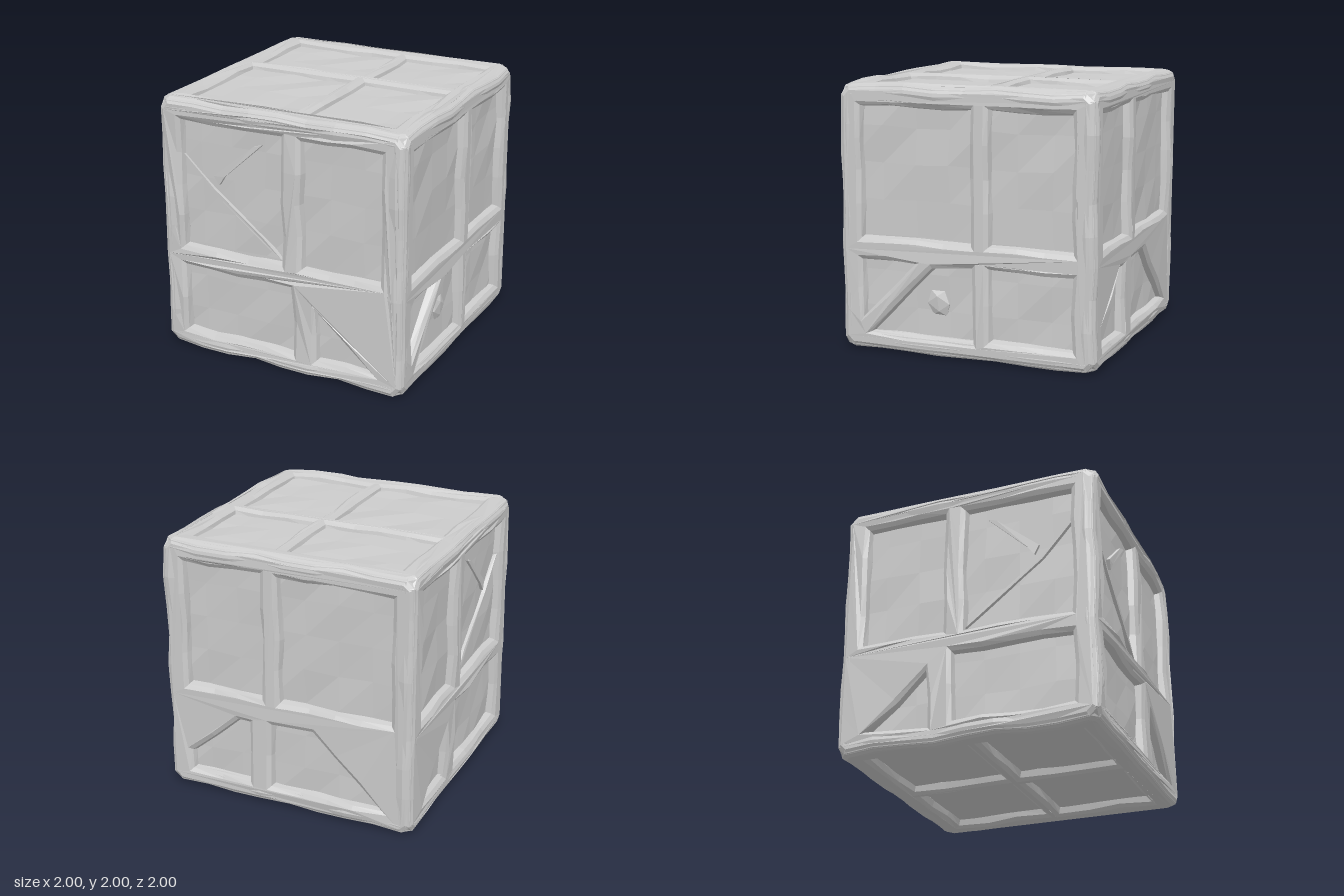
import * as THREE from 'three';

const R = 0.99;      // half size of the cube
const FLOOR = 0.925; // distance of the sunken panels from the centre
const mat = new THREE.MeshStandardMaterial({ color: 0xcccccc, flatShading: true });

// Smooth hand-hewn wobble, the same for every part so that joints stay closed
function hew(geo, amount = 0.011) {
  const p = geo.attributes.position;
  for (let i = 0; i < p.count; i++) {
    const x = p.getX(i), y = p.getY(i), z = p.getZ(i);
    p.setXYZ(i,
      x + amount * Math.sin(9 * y + 4 * x + 1) * Math.cos(7 * z - 2 * x),
      y + amount * Math.sin(8 * z + 5 * y + 2) * Math.cos(9 * x + y),
      z + amount * Math.sin(9 * x - 3 * z + 3) * Math.cos(8 * y + 2 * z));
  }
  geo.computeVertexNormals();
  return geo;
}

// Closed outline with extra points along its long sides
function outline(corners, step = 0.24) {
  const pts = [];
  corners.forEach(([x, y], i) => {
    const [x2, y2] = corners[(i + 1) % corners.length];
    const n = Math.max(1, Math.round(Math.hypot(x2 - x, y2 - y) / step));
    for (let k = 0; k < n; k++) {
      pts.push(new THREE.Vector2(x + (x2 - x) * k / n, y + (y2 - y) * k / n));
    }
  });
  return pts;
}

const rect = (x0, x1, y0, y1) => [[x0, y0], [x1, y0], [x1, y1], [x0, y1]];
const mirror = (polys) => polys.map((poly) => poly.map(([x, y]) => [-x, y]));

// Square frame with chamfered openings
function frameGeometry(openings) {
  const c = R - 0.07;
  const shape = new THREE.Shape(outline([
    [c, -R], [R, -c], [R, c], [c, R], [-c, R], [-R, c], [-R, -c], [-c, -R]]));
  for (const o of openings) shape.holes.push(new THREE.Path(outline(o)));
  const geo = new THREE.ExtrudeGeometry(shape, {
    depth: 0.001, bevelEnabled: true, bevelThickness: 0.07,
    bevelSize: 0.045, bevelOffset: -0.045, bevelSegments: 2,
  });
  return geo.translate(0, 0, R - 0.071);
}

// Openings of each side, seen from outside, heights measured from the middle
const frontOpenings = [
  rect(-0.8, 0.01, -0.14, 0.82),
  rect(0.19, 0.8, -0.13, 0.82),
  rect(-0.8, 0.09, -0.83, -0.32),
  [[0.3, -0.84], [0.74, -0.84], [0.3, -0.45]],
];
const rightOpenings = [
  rect(-0.81, 0.04, -0.13, 0.82),
  rect(0.2, 0.81, -0.13, 0.82),
  [[-0.81, -0.32], [-0.81, -0.73], [-0.4, -0.32]],
  [[-0.74, -0.85], [0.05, -0.85], [0.05, -0.32], [-0.24, -0.34]],
  rect(0.2, 0.81, -0.83, -0.32),
];
const backOpenings = [
  rect(-0.8, -0.2, -0.13, 0.82),
  rect(-0.04, 0.81, -0.13, 0.82),
  [[-0.79, -0.84], [-0.32, -0.84], [-0.32, -0.37], [-0.4, -0.37], [-0.79, -0.7]],
  [[-0.12, -0.84], [0.74, -0.84], [0.2, -0.34], [-0.12, -0.34]],
];
const topOpenings = [
  rect(-0.81, 0.04, -0.81, 0.06), rect(0.17, 0.81, -0.81, 0.06),
  rect(-0.81, 0.05, 0.19, 0.81), rect(0.17, 0.81, 0.19, 0.81),
];
const bottomOpenings = [
  rect(-0.8, -0.06, -0.8, -0.06), rect(0.07, 0.8, -0.8, -0.06),
  rect(-0.8, -0.06, 0.07, 0.8), rect(0.07, 0.8, 0.07, 0.8),
];
// Thin splinters standing off the split panel
const splinters = [
  [[-0.84, 0.6], [-0.55, 0.33], [-0.14, 0.02], [0.02, -0.13], [-0.15, -0.01], [-0.57, 0.32]],
  [[-0.15, 0.73], [-0.22, 0.71], [-0.55, 0.44], [-0.51, 0.37], [-0.46, 0.44]],
];

const q = Math.PI / 2;
const sides = [
  { name: 'front', turn: [0, 0], openings: frontOpenings, splinters },
  { name: 'right', turn: [0, q], openings: rightOpenings },
  { name: 'back', turn: [0, 2 * q], openings: backOpenings },
  { name: 'left', turn: [0, -q], openings: mirror(frontOpenings), splinters: mirror(splinters) },
  { name: 'top', turn: [-q, 0], openings: topOpenings },
  { name: 'bottom', turn: [q, 0], openings: bottomOpenings },
];

export function createModel() {
  const group = new THREE.Group();
  group.name = 'crate';
  const add = (name, geo, [rx, ry] = [0, 0]) => {
    geo.rotateX(rx).rotateY(ry);
    const mesh = new THREE.Mesh(hew(geo), mat);
    mesh.name = name;
    mesh.position.y = 1;
    group.add(mesh);
  };

  // Sunken panels: one box behind all frames, a little higher at the top
  const core = new THREE.BoxGeometry(2 * FLOOR, 2 * FLOOR + 0.02, 2 * FLOOR, 7, 7, 7);
  add('panels', core.translate(0, 0.01, 0));

  for (const s of sides) {
    add(s.name + 'Frame', frameGeometry(s.openings), s.turn);
    for (const poly of s.splinters ?? []) {
      const geo = new THREE.ExtrudeGeometry(new THREE.Shape(outline(poly, 9)), { depth: 0.035, bevelEnabled: false });
      add(s.name + 'Splinter', geo.translate(0, 0, FLOOR - 0.01), s.turn);
    }
  }

  // Knot on the lower panel of one side
  const knot = new THREE.IcosahedronGeometry(0.1, 0).scale(1, 1.1, 0.3);
  add('knot', knot.translate(-0.22, -0.6, FLOOR), [0, q]);
  return group;
}
